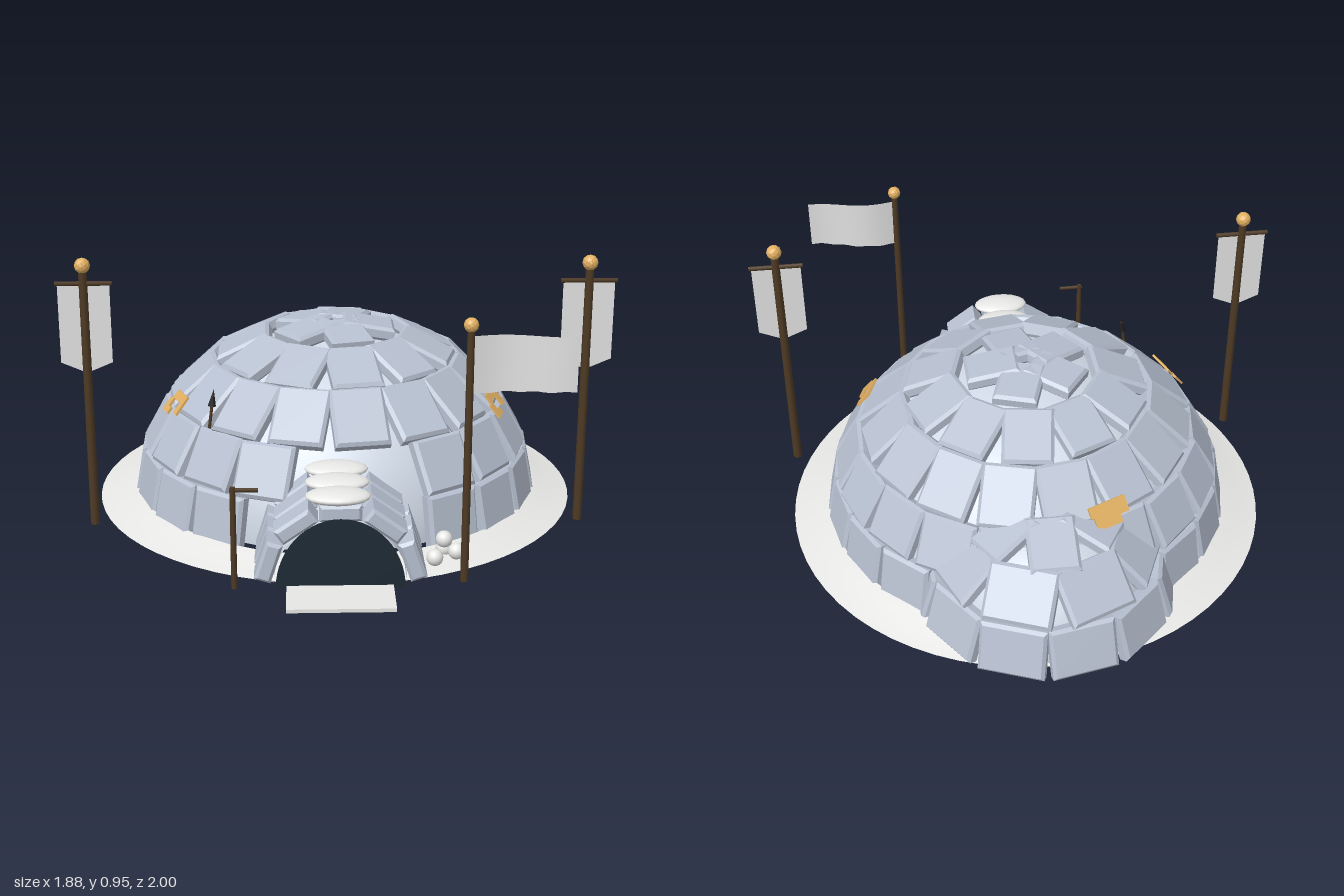
import * as THREE from 'three';

const mat = (name, hex, side = THREE.FrontSide) => {
  const m = new THREE.MeshStandardMaterial({ color: hex, side });
  m.name = name;
  return m;
};

export function createModel() {
  const model = new THREE.Group();
  model.name = 'iceHouse';
  const ice = mat('ice block', 0xb8c1d1);
  const lining = mat('ice lining', 0xd0d9e6, THREE.DoubleSide);
  const snow = mat('snow', 0xf0f0ef, THREE.DoubleSide);
  const cloth = mat('banner cloth', 0xe2e2e2, THREE.DoubleSide);
  const wood = mat('dark wood', 0x4e3a24);
  const gold = mat('gold', 0xe2b062, THREE.DoubleSide);
  const dark = mat('doorway dark', 0x1d2a35, THREE.DoubleSide);
  const black = mat('iron', 0x1c1c1e);

  let seed = 7;
  const jitter = (s) => {
    seed = (seed * 16807) % 2147483647;
    return (seed / 2147483647 - 0.5) * 2 * s;
  };
  const add = (name, geo, material, x = 0, y = 0, z = 0, parent = model) => {
    const m = new THREE.Mesh(geo, material);
    m.name = name;
    m.position.set(x, y, z);
    parent.add(m);
    return m;
  };
  const group = (name, x = 0, y = 0, z = 0) => {
    const g = new THREE.Group();
    g.name = name;
    g.position.set(x, y, z);
    model.add(g);
    return g;
  };
  const outline = (points) => new THREE.Shape(points.map((p) => new THREE.Vector2(...p)));

  // Chamfered block, centred on the origin
  const blockGeo = (w, h, d, b = 0.011) => {
    const x = w / 2 - b, y = h / 2 - b;
    const s = outline([[-x, -y], [x, -y], [x, y], [-x, y]]);
    const g = new THREE.ExtrudeGeometry(s, { depth: d - 2 * b, bevelEnabled: true, bevelThickness: b, bevelSize: b, bevelSegments: 1 });
    return g.translate(0, 0, -(d / 2 - b));
  };

  // Dome of block courses over a smooth lining
  const DEPTH = 0.05;
  const dome = (name, cz, R, H, rows, skip) => {
    const g = group(name, 0, 0, cz);
    const radius = (y) => R * Math.sqrt(Math.max(0, 1 - (y / H) ** 2));
    rows.forEach(({ y0, y1, n, phase = 0, w, h }, row) => {
      const r0 = radius(y0), r1 = radius(y1);
      const tilt = Math.atan2(r0 - r1, y1 - y0);
      const width = w ?? (Math.PI * (r0 + r1)) / n - 0.012;
      const height = h ?? Math.hypot(r0 - r1, y1 - y0) - 0.006;
      const geo = blockGeo(width, height, DEPTH);
      const r = (r0 + r1) / 2 - Math.cos(tilt) * DEPTH / 2 + 0.006;
      const y = (y0 + y1) / 2 - Math.sin(tilt) * DEPTH / 2 + 0.004;
      for (let i = 0; i < n; i++) {
        const a = phase + (i / n) * Math.PI * 2;
        const front = Math.atan2(Math.sin(a), Math.cos(a));
        if (skip(row, front, r)) continue;
        const out = r + jitter(0.004);
        const b = add('iceBlock', geo, ice, Math.sin(a) * out, y, Math.cos(a) * out, g);
        b.rotation.order = 'YXZ';
        b.rotation.set(-tilt + jitter(0.025), a + jitter(0.025), jitter(0.02));
      }
    });
    const shell = add('lining', new THREE.SphereGeometry(1, 48, 16, 0, Math.PI * 2, 0, Math.PI / 2), lining, 0, 0.02, 0, g);
    shell.scale.set(R - 0.068, H - 0.075, R - 0.068);
  };

  const deg = Math.PI / 180;
  const MZ = -0.06, AZ = -0.545;
  dome('mainDome', MZ, 0.722, 0.645, [
    { y0: 0.02, y1: 0.2, n: 21, phase: -1 * deg },
    { y0: 0.2, y1: 0.37, n: 19, phase: -4 * deg },
    { y0: 0.37, y1: 0.52, n: 16, phase: 8 * deg },
    { y0: 0.52, y1: 0.61, n: 11, phase: 10 * deg },
    { y0: 0.612, y1: 0.645, n: 5, phase: 90 * deg, w: 0.155, h: 0.19 },
  ], (row, a, r) => {
    if (row === 0 && Math.abs(a) < 25 * deg) return true;
    if (row === 1 && a > -10 * deg && a < 25 * deg) return true;
    return row === 0 && Math.hypot(Math.sin(a) * r, Math.cos(a) * r + MZ - AZ) < 0.38;
  });
  dome('rearDome', AZ, 0.445, 0.41, [
    { y0: 0.015, y1: 0.195, n: 11, phase: 190 * deg },
    { y0: 0.2, y1: 0.34, n: 8, phase: 22.5 * deg },
    { y0: 0.342, y1: 0.4, n: 6, w: 0.17, h: 0.2 },
  ], () => false);

  // Snow skirt around the dome
  const skirt = [[0.86, 0], [0.81, 0.012], [0.77, 0.026], [0.725, 0.04]].map((p) => new THREE.Vector2(...p));
  add('snowSkirt', new THREE.LatheGeometry(skirt, 64), snow, 0, 0.002, MZ);

  // Entrance tunnel: three arches of blocks, each capped with a snow mound
  const tunnel = group('entranceTunnel', -0.003, 0.02, 0);
  const archGeo = blockGeo(0.135, 0.055, 0.108, 0.01);
  [0.78, 0.665, 0.55].forEach((z) => {
    for (let i = 0; i < 5; i++) {
      const a = (18 + i * 36) * deg;
      const b = add('archBlock', archGeo, ice, Math.cos(a) * 0.24, Math.sin(a) * 0.24, z, tunnel);
      b.rotation.z = a - Math.PI / 2 + jitter(0.02);
    }
    add('snowMound', new THREE.SphereGeometry(1, 20, 12), snow, -0.007, 0.28, z, tunnel).scale.set(0.105, 0.023, 0.064);
  });
  const vault = new THREE.CylinderGeometry(0.212, 0.212, 0.24, 24, 1, true, Math.PI / 2, Math.PI);
  add('tunnelVault', vault.rotateX(Math.PI / 2), lining, 0, 0, 0.7, tunnel);
  add('doorway', new THREE.CircleGeometry(1, 28, 0, Math.PI), dark, 0, -0.015, 0.836, tunnel).scale.set(0.206, 0.24, 1);
  add('doorstep', new THREE.BoxGeometry(0.34, 0.012, 0.22), snow, -0.005, 0.012, 0.89);

  // Pile of snowballs
  [[0.308, 0.04, 0.685], [0.382, 0.045, 0.648], [0.345, 0.04, 0.61], [0.34, 0.092, 0.655]].forEach((p) =>
    add('snowball', new THREE.SphereGeometry(0.028, 14, 10), snow, ...p));

  // Poles with faceted gold knobs
  const pole = (g, r, h, knob) => {
    add('pole', new THREE.CylinderGeometry(r * 0.9, r, h, 8), wood, 0, h / 2, 0, g);
    const k = new THREE.IcosahedronGeometry(knob, 1);
    k.computeVertexNormals();
    add('knob', k, gold, 0, h + knob * 0.6, 0, g);
  };
  const bannerShape = outline([[-0.087, 0.86], [-0.087, 0.59], [0, 0.553], [0.087, 0.59], [0.087, 0.86]]);
  [-1, 1].forEach((s) => {
    const g = group(s > 0 ? 'leftBanner' : 'rightBanner', s * 0.845, 0, 0.29);
    pole(g, 0.016, 0.91, 0.027);
    add('crossbar', new THREE.CylinderGeometry(0.008, 0.008, 0.19, 6).rotateZ(Math.PI / 2), wood, 0, 0.865, 0, g);
    add('banner', new THREE.ShapeGeometry(bannerShape), cloth, 0, 0, 0, g);
  });

  // Flag with a rippled cloth
  const flag = group('flag', 0.395, 0, 0.775);
  pole(flag, 0.013, 0.84, 0.024);
  const flagGeo = new THREE.PlaneGeometry(0.32, 0.185, 16, 1).translate(0.17, 0.725, 0);
  const fp = flagGeo.attributes.position;
  for (let i = 0; i < fp.count; i++) {
    const t = fp.getX(i) / 0.33;
    fp.setZ(i, -0.018 * Math.sin(t * 5));
    if (fp.getY(i) < 0.7) fp.setY(i, 0.63 + 0.012 * t + 0.002 * Math.sin(t * 23));
  }
  flagGeo.computeVertexNormals();
  add('flagCloth', flagGeo, cloth, 0, 0, 0, flag);

  // Short post with a side arm
  const post = group('sidePost', -0.34, 0, 0.81);
  add('post', new THREE.CylinderGeometry(0.009, 0.01, 0.345, 8), wood, 0, 0.172, 0, post);
  add('arm', new THREE.CylinderGeometry(0.007, 0.007, 0.09, 6).rotateZ(Math.PI / 2), wood, 0.035, 0.335, 0, post);

  // Gold plates on the dome: hooked ones at the sides, a solid one at the back
  const hooked = outline([
    [-0.065, -0.045], [-0.01, -0.045], [-0.01, -0.02], [-0.035, -0.02], [-0.035, 0.012], [0.03, 0.012],
    [0.03, -0.03], [0.06, -0.03], [0.06, 0.045], [-0.045, 0.045], [-0.045, 0.01], [-0.065, 0.01],
  ]);
  const solid = outline([
    [-0.06, -0.042], [0.035, -0.042], [0.035, -0.015], [0.07, -0.015], [0.07, 0.042], [-0.07, 0.042], [-0.07, 0.005], [-0.06, 0.005],
  ]);
  [[-0.56, 0.2, hooked], [0.56, 0.205, hooked], [-0.205, -0.56, solid]].forEach(([x, z, shape]) => {
    const geo = new THREE.ExtrudeGeometry(shape, { depth: 0.008, bevelEnabled: false });
    const m = add('goldPlate', geo, gold, x, 0.385, z + MZ);
    m.rotation.order = 'YXZ';
    m.rotation.set(-0.68, Math.atan2(x, z), 0.05);
  });

  // Small spear leaning on the dome
  const spear = group('spear', -0.427, 0.435, 0.33);
  spear.rotation.z = -0.13;
  add('shaft', new THREE.CylinderGeometry(0.006, 0.006, 0.12, 6), wood, 0, -0.01, 0, spear);
  add('spearHead', new THREE.ConeGeometry(0.015, 0.06, 6), black, 0, 0.04, 0, spear);

  return model;
}
